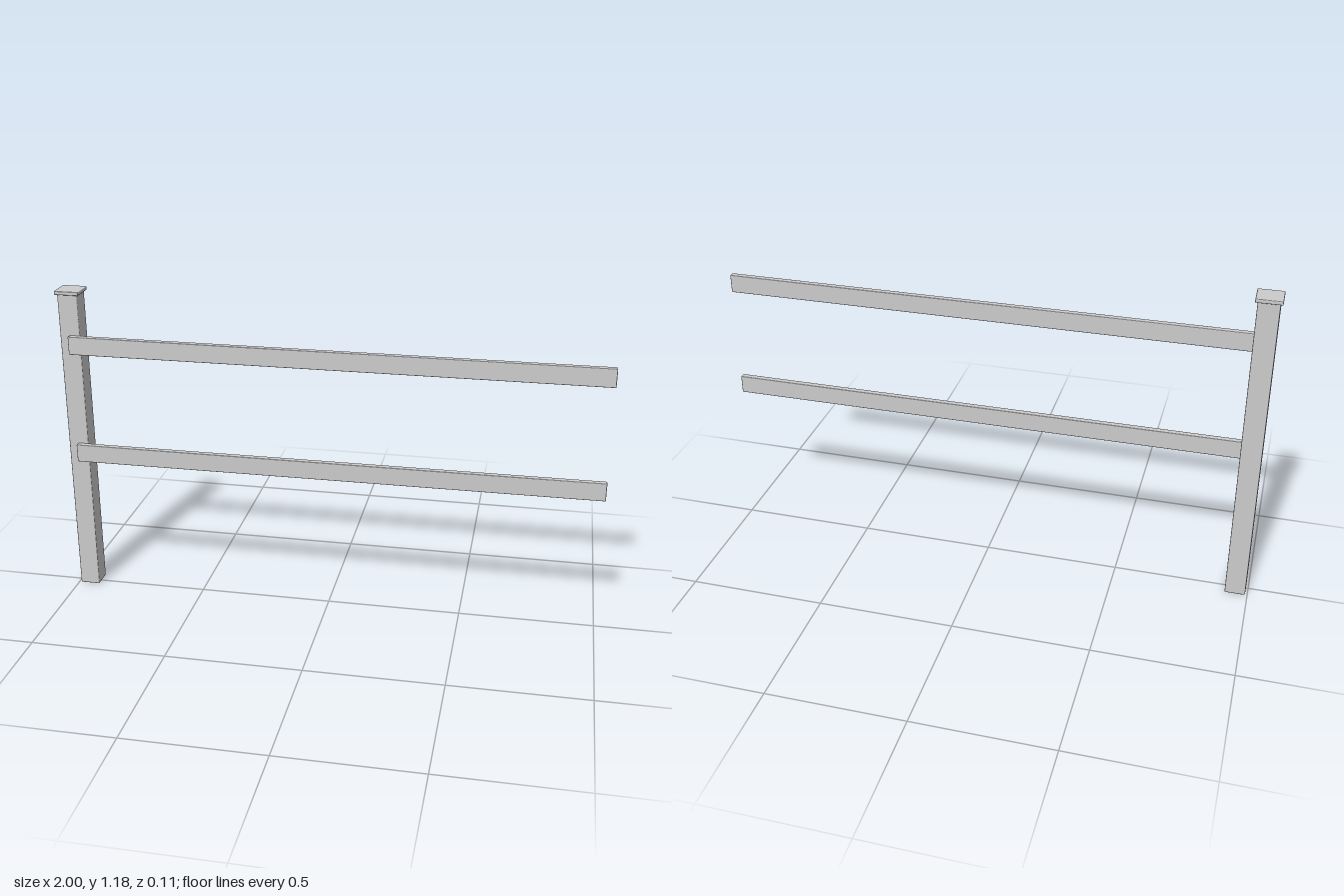
import * as THREE from 'three';
import { RoundedBoxGeometry } from 'three/addons/geometries/RoundedBoxGeometry.js';

export function createModel() {
  const model = new THREE.Group();
  model.name = 'fenceSection';
  const material = new THREE.MeshStandardMaterial({ color: 0xcccccc });

  // Softly bevelled board given by its extents on each axis
  function board(name, [x0, x1], [y0, y1], [z0, z1], bevel) {
    const geometry = new RoundedBoxGeometry(x1 - x0, y1 - y0, z1 - z0, 1, bevel);
    const mesh = new THREE.Mesh(geometry, material);
    mesh.name = name;
    mesh.position.set((x0 + x1) / 2, (y0 + y1) / 2, (z0 + z1) / 2);
    model.add(mesh);
  }

  // Square post with a flat overhanging cap
  board('post', [-0.992, -0.917], [0, 1.172], [-0.046, 0.03], 0.004);
  board('postCap', [-1, -0.909], [1.171, 1.185], [-0.054, 0.038], 0.003);

  // Two rails fixed to the front of the post
  const rails = { lowerRail: 0.565, upperRail: 0.987 };
  for (const [name, y] of Object.entries(rails)) {
    board(name, [-0.955, 1], [y - 0.034, y + 0.034], [0.031, 0.054], 0.003);
  }
  return model;
}
